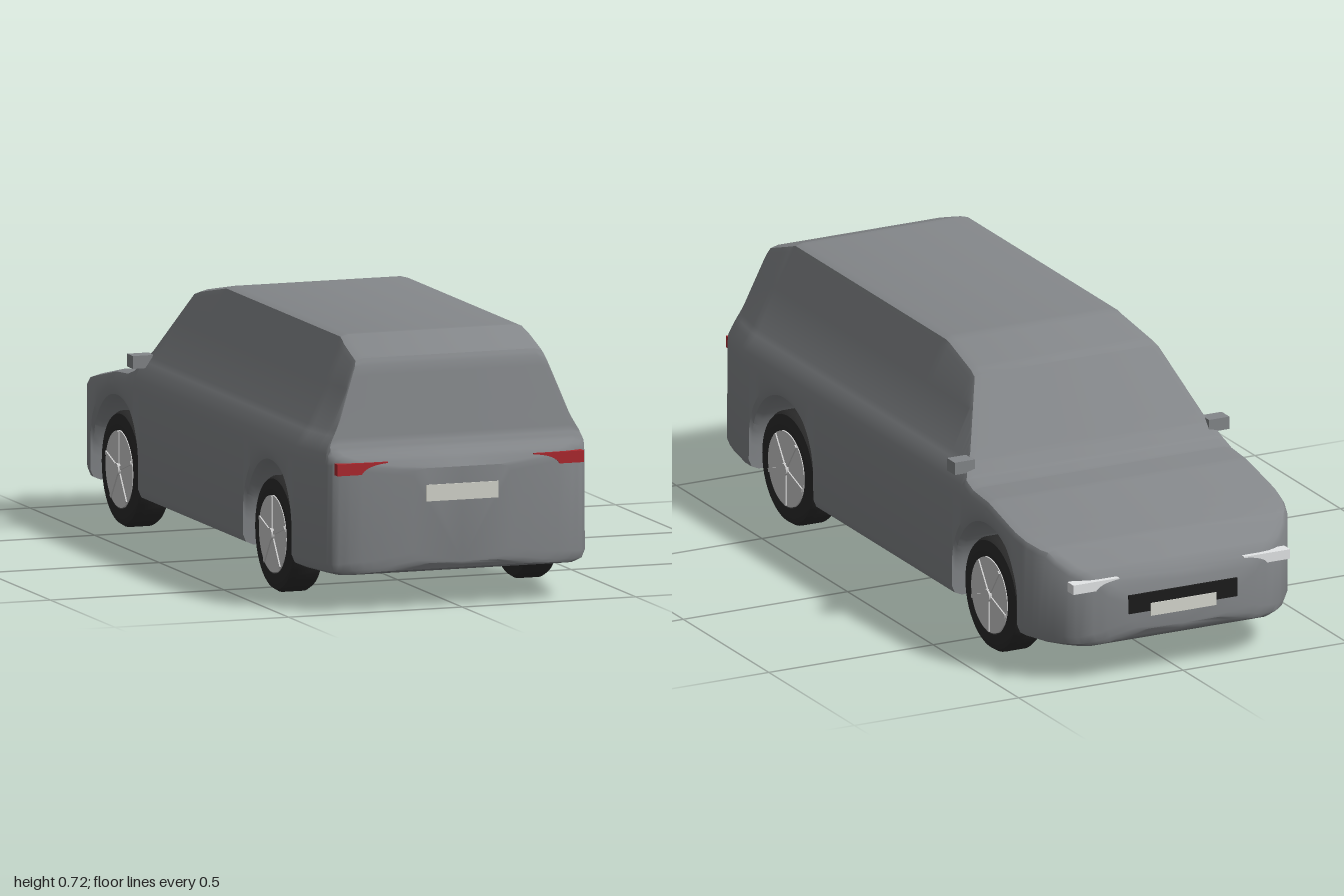
import * as THREE from 'three';
import { toCreasedNormals } from 'three/addons/utils/BufferGeometryUtils.js';

const mat = (color) => new THREE.MeshStandardMaterial({ color });
const paint = mat(0x84878a), rubber = mat(0x2b2b2b), silver = mat(0xcccccc);
const red = mat(0xb02a30), plateMat = mat(0xd8d9d0), black = mat(0x1c1c1c), lamp = mat(0xe4e6e8);

// Piecewise linear lookup in a list of [key, value] pairs
function lookup(table, k) {
  if (k <= table[0][0]) return table[0][1];
  for (let i = 1; i < table.length; i++) {
    const [k0, v0] = table[i - 1], [k1, v1] = table[i];
    if (k <= k1) return v0 + (v1 - v0) * (k - k0) / (k1 - k0);
  }
  return table[table.length - 1][1];
}

// Body height, half width and underside along z; side shape along y
const HEIGHT = [[-1, 0.22], [-0.985, 0.28], [-0.965, 0.31], [-0.9, 0.367], [-0.62, 0.43], [-0.53, 0.437], [-0.485, 0.452],
  [-0.455, 0.485], [-0.32, 0.68], [-0.29, 0.69], [-0.12, 0.724], [0.76, 0.724], [0.895, 0.678], [0.905, 0.66],
  [0.942, 0.46], [0.955, 0.435], [0.98, 0.412], [1, 0.385]];
const WIDTH = [[-1, 0.15], [-0.99, 0.225], [-0.975, 0.28], [-0.95, 0.322], [-0.92, 0.352], [-0.88, 0.38], [-0.83, 0.397],
  [-0.78, 0.403], [0.8, 0.403], [0.9, 0.385], [0.95, 0.372], [0.965, 0.358], [0.98, 0.315], [0.99, 0.25], [1, 0.14]];
const BOTTOM = [[-1, 0.135], [-0.985, 0.11], [-0.965, 0.1], [0.97, 0.1], [0.99, 0.108], [1, 0.125]];
const SIDE = [[0.1, 1], [0.38, 1], [0.43, 0.99], [0.46, 0.953], [0.49, 0.9], [0.72, 0.648]];
const LEVELS = [0.4, 0.43, 0.46, 0.475, 0.49, 0.6, 0.7];
const AXLES = [-0.612, 0.575], ARCH = 0.188, WHEEL_Y = 0.158;

// Closed cross-section of the body at z, with the wheel wells cut upwards
function section(z) {
  const h = lookup(HEIGHT, z), w = lookup(WIDTH, z), b = lookup(BOTTOM, z);
  let a = b;
  for (const c of AXLES) {
    const d = (z - c) / ARCH;
    if (Math.abs(d) < 1.0001) a = 0.163 + 0.19 * Math.sqrt(Math.max(0, 1 - d * d));
  }
  const inner = Math.min(0.27, w * 0.67);
  const half = [[0, b], [inner, b], [inner, a], [w - 0.03, a], [w - 0.009, a + 0.009], [w, a + 0.03]];
  for (const l of LEVELS) {
    const y = Math.max(a + 0.03, Math.min(l, h - 0.02));
    half.push([w * lookup(SIDE, y), y]);
  }
  const edge = half[half.length - 1][0];
  half.push([edge - 0.008, h - 0.006], [edge - 0.03, h], [0, h]);
  const other = half.slice(1, -1).reverse().map(([x, y]) => [-x, y]);
  return [...half, ...other].map(([x, y]) => new THREE.Vector3(x, y, z));
}

function bodyGeometry() {
  const stations = new Set();
  const add = (z) => stations.add(Math.round(z * 10000) / 10000);
  for (let i = -50; i <= 50; i++) add(i * 0.02);
  for (let i = 0; i < 20; i++) { add(0.9 + i * 0.005); add(-0.48 + i * 0.008); }
  for (const t of [HEIGHT, WIDTH, BOTTOM]) t.forEach(([z]) => add(z));
  for (const c of AXLES) {
    for (let i = 0; i <= 28; i++) add(c - ARCH * Math.cos(Math.PI * i / 28));
    add(c - ARCH - 0.0006);
    add(c + ARCH + 0.0006);
  }
  const rings = [...stations].sort((p, q) => p - q).map(section);
  const pos = [];
  const tri = (p, q, r) => {
    const area = q.clone().sub(p).cross(r.clone().sub(p)).length();
    if (area > 1e-9) for (const v of [p, q, r]) pos.push(v.x, v.y, v.z);
  };
  const n = rings[0].length;
  for (let i = 0; i + 1 < rings.length; i++) {
    const a = rings[i], b = rings[i + 1];
    for (let j = 0; j < n; j++) {
      const k = (j + 1) % n;
      tri(a[j], a[k], b[j]);
      tri(a[k], b[k], b[j]);
    }
  }
  // End caps
  const first = rings[0], last = rings[rings.length - 1];
  for (let j = 1; j + 1 < n; j++) {
    tri(first[0], first[j + 1], first[j]);
    tri(last[0], last[j], last[j + 1]);
  }
  const g = new THREE.BufferGeometry();
  g.setAttribute('position', new THREE.Float32BufferAttribute(pos, 3));
  return toCreasedNormals(g, 0.6);
}

function mesh(parent, name, geometry, material, x = 0, y = 0, z = 0) {
  const m = new THREE.Mesh(geometry, material);
  m.name = name;
  m.position.set(x, y, z);
  parent.add(m);
  return m;
}

// Wheel with its axis on y, outer face towards +y
function wheel() {
  const g = new THREE.Group();
  const profile = [[0, -0.048], [0.135, -0.048], [0.15, -0.043], [0.158, -0.03], [0.158, 0.03], [0.15, 0.043],
    [0.135, 0.048], [0.108, 0.048], [0.104, 0.03]].map(([x, y]) => new THREE.Vector2(x, y));
  mesh(g, 'tyre', toCreasedNormals(new THREE.LatheGeometry(profile, 48), 0.6), rubber);
  mesh(g, 'rim', new THREE.CylinderGeometry(0.105, 0.105, 0.03, 48), silver, 0, 0.034, 0);
  mesh(g, 'hub', new THREE.CylinderGeometry(0.017, 0.017, 0.01, 20), silver, 0, 0.053, 0);
  for (let i = 0; i < 5; i++) {
    const a = i * Math.PI * 2 / 5;
    const spoke = mesh(g, 'spoke', new THREE.BoxGeometry(0.09, 0.006, 0.01), silver,
      0.058 * Math.cos(a), 0.05, 0.058 * Math.sin(a));
    spoke.rotation.y = -a;
  }
  return g;
}

// Lamp with a thin curved tail reaching inwards
function lampGeometry(side, xIn, xMid, xOut, yLow, yHigh, depth) {
  const s = new THREE.Shape();
  s.moveTo(side * xIn, yHigh);
  s.lineTo(side * xOut, yHigh);
  s.lineTo(side * xOut, yLow);
  s.lineTo(side * xMid, yLow);
  s.quadraticCurveTo(side * (xMid - 0.012), yHigh - 0.008, side * xIn, yHigh - 0.003);
  s.closePath();
  return new THREE.ExtrudeGeometry(s, { depth, bevelEnabled: false, curveSegments: 10 });
}

export function createModel() {
  const car = new THREE.Group();
  car.name = 'car';
  mesh(car, 'body', bodyGeometry(), paint);

  for (const side of [1, -1]) {
    AXLES.forEach((z, i) => {
      const w = wheel();
      w.name = i ? 'tailWheel' : 'hoodWheel';
      w.position.set(side * 0.339, WHEEL_Y, z);
      w.rotation.z = -side * Math.PI / 2;
      car.add(w);
    });
    mesh(car, 'doorMirror', new THREE.BoxGeometry(0.062, 0.035, 0.046), paint, side * 0.387, 0.479, -0.446);
    mesh(car, 'tailLight', lampGeometry(side, 0.21, 0.285, 0.355, 0.375, 0.407, 0.035), red, 0, 0, 0.955);
    mesh(car, 'headlight', lampGeometry(side, 0.19, 0.26, 0.33, 0.264, 0.291, 0.035), lamp, 0, 0, -0.993);
  }

  // Number plates and grille
  mesh(car, 'tailPlate', new THREE.BoxGeometry(0.208, 0.045, 0.012), plateMat, 0, 0.317, 0.997);
  mesh(car, 'grille', new THREE.BoxGeometry(0.33, 0.052, 0.02), black, 0, 0.212, -0.992);
  mesh(car, 'hoodPlate', new THREE.BoxGeometry(0.2, 0.036, 0.012), plateMat, 0, 0.19, -0.999);
  return car;
}
